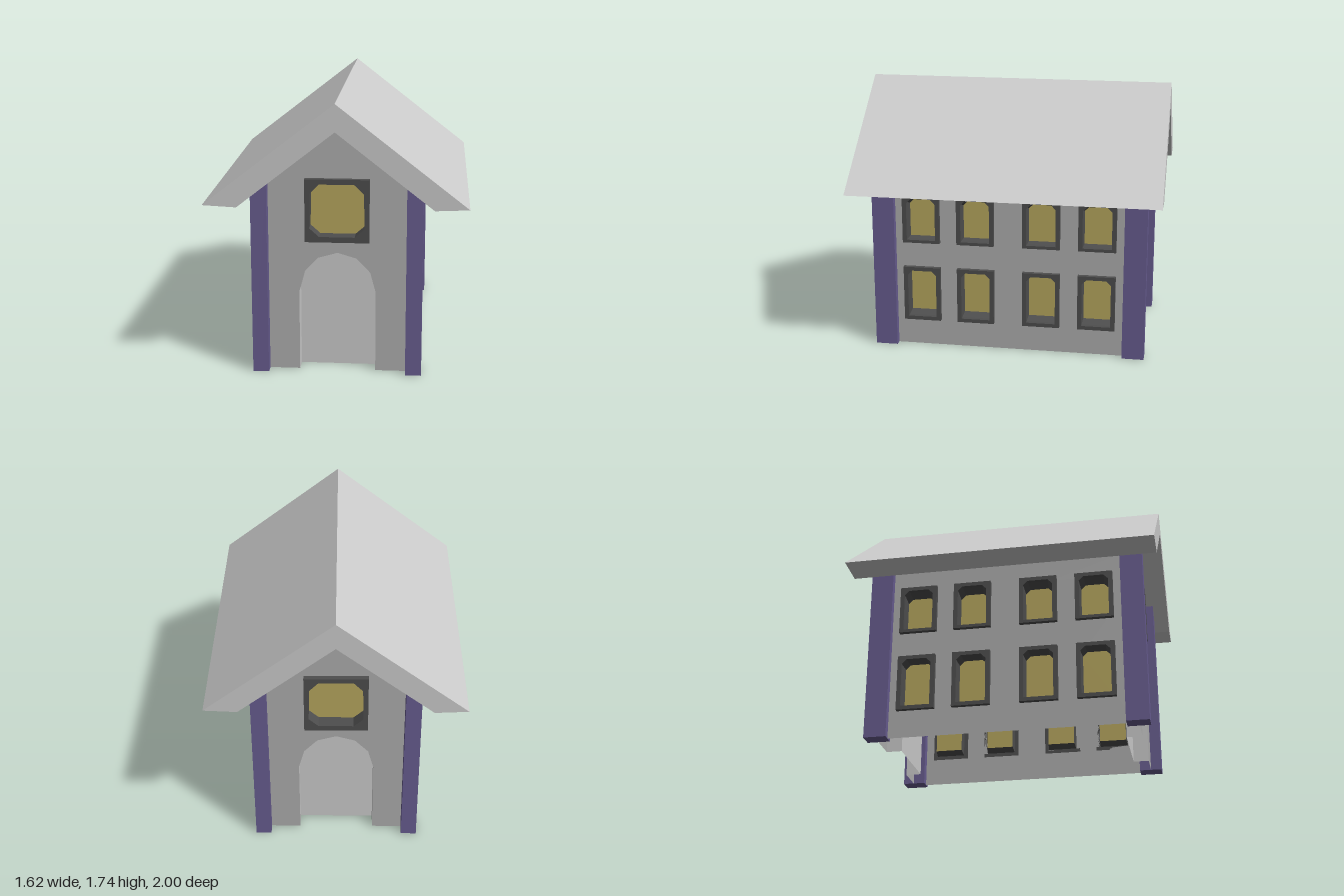
import * as THREE from 'three';

const material = (color, side = THREE.DoubleSide) =>
  new THREE.MeshStandardMaterial({ color, side, flatShading: true });
const GREY = material(0xcccccc);
const WALL = material(0xaeaeae);
const PILLAR = material(0x685d90, THREE.FrontSide);
const FRAME = material(0x4e4e4e);
const PANE = material(0xb7a75e);

const HALF_W = 0.485; // side wall plane
const HALF_D = 0.83; // gable wall plane

function add(parent, name, geometry, mat, z = 0) {
  const mesh = new THREE.Mesh(geometry, mat);
  mesh.name = name;
  mesh.position.z = z;
  parent.add(mesh);
  return mesh;
}

const toShape = (pts) => new THREE.Shape(pts.map(([x, y]) => new THREE.Vector2(x, y)));
const toPath = (pts) => new THREE.Path(pts.map(([x, y]) => new THREE.Vector2(x, y)));
const rect = (x0, x1, y0, y1) => [[x0, y0], [x1, y0], [x1, y1], [x0, y1]];
// mirrors a right-hand outline (bottom to top) into a closed loop
const mirrored = (pts) => [...pts, ...pts.filter(([x]) => x > 0).reverse().map(([x, y]) => [-x, y])];
const shifted = (pts, dx) => pts.map(([x, y]) => [x + dx, y]);

// strip joining two outlines with equal point counts, seen from inside
function tunnel(front, zf, back, zb, closed = true) {
  const pos = [];
  const n = front.length;
  for (let i = 0; i < (closed ? n : n - 1); i++) {
    const j = (i + 1) % n;
    const a = [...front[i], zf], b = [...front[j], zf];
    const c = [...back[j], zb], d = [...back[i], zb];
    pos.push(...a, ...b, ...c, ...a, ...c, ...d);
  }
  const g = new THREE.BufferGeometry();
  g.setAttribute('position', new THREE.Float32BufferAttribute(pos, 3));
  g.computeVertexNormals();
  return g;
}

// raised frame, recess and pane; wall plane is local z = 0
function addWindow(parent, outer, opening, pane, front = 0.03, back = -0.06) {
  const win = new THREE.Group();
  win.name = 'window';
  const ring = toShape(outer);
  ring.holes.push(toPath(opening));
  add(win, 'windowFrame', new THREE.ExtrudeGeometry(ring, { depth: front, bevelEnabled: false }), FRAME);
  add(win, 'windowRecess', tunnel(opening, 0, pane, back), FRAME);
  add(win, 'windowPane', new THREE.ShapeGeometry(toShape(pane)), PANE, back);
  parent.add(win);
}

// arched-top outline with cut corners
const archedLight = (w, y0, y1) => mirrored([[w, y0], [w, y1 - 0.03], [w - 0.03, y1]]);

function sideWall() {
  const group = new THREE.Group();
  group.name = 'sideWall';
  const wall = toShape(rect(-HALF_D, HALF_D, 0, 1.2));
  const rows = [
    { outer: [0.18, 0.55], opening: [0.205, 0.525], pane: [0.225, 0.52] },
    { outer: [0.72, 1.045], opening: [0.74, 1.02], pane: [0.745, 0.998] },
  ];
  for (const row of rows) {
    for (const x of [-0.58, -0.22, 0.215, 0.58]) {
      const opening = shifted(archedLight(0.095, ...row.opening), x);
      const pane = shifted(archedLight(0.09, ...row.pane), x);
      wall.holes.push(toPath(opening));
      addWindow(group, rect(x - 0.123, x + 0.123, ...row.outer), opening, pane);
    }
  }
  add(group, 'wallPanel', new THREE.ShapeGeometry(wall), WALL);
  return group;
}

function gableWall() {
  const group = new THREE.Group();
  group.name = 'gableWall';
  const arch = mirrored([[0.24, 0], [0.24, 0.52], [0.205, 0.65], [0.12, 0.74], [0, 0.775]]);
  // the wall outline runs around the doorway, which is open at the ground
  const doorway = [...arch].reverse();
  const wall = toShape([[HALF_W, 0], [HALF_W, 1.2], [0, 1.58], [-HALF_W, 1.2], [-HALF_W, 0], ...doorway]);
  const opening = mirrored([[0.11, 0.885], [0.172, 0.94], [0.166, 1.16], [0.11, 1.218]]);
  wall.holes.push(toPath(opening));
  add(group, 'wallPanel', new THREE.ShapeGeometry(wall), WALL);
  addWindow(group, rect(-0.2, 0.2, 0.85, 1.25), opening, opening, 0.035, -0.055);
  // door niche
  add(group, 'doorJamb', tunnel(arch, 0, arch, -0.1, false), GREY);
  add(group, 'door', new THREE.ShapeGeometry(toShape(arch)), GREY, -0.1);
  return group;
}

export function createModel() {
  const model = new THREE.Group();
  model.name = 'house';

  // two matching gables and two matching long sides
  for (const turn of [0, 1]) {
    const gable = gableWall();
    gable.rotation.y = turn * Math.PI;
    gable.position.z = turn ? -HALF_D : HALF_D;
    const side = sideWall();
    side.rotation.y = Math.PI / 2 + turn * Math.PI;
    side.position.x = turn ? -HALF_W : HALF_W;
    model.add(gable, side);
  }

  // corner pillars, tops buried in the roof
  for (const sx of [-1, 1]) {
    for (const sz of [-1, 1]) {
      const pillar = add(model, 'cornerPillar', new THREE.BoxGeometry(0.1, 1.235, 0.145), PILLAR);
      pillar.position.set(sx * 0.481, 0.6175, sz * 0.8275);
    }
  }

  // thick gabled roof with cut eaves
  const roof = toShape([[0, 1.74], [-0.81, 1.11], [-0.6, 1.1], [0, 1.57], [0.6, 1.1], [0.81, 1.11]]);
  add(model, 'roof', new THREE.ExtrudeGeometry(roof, { depth: 2, bevelEnabled: false }), GREY, -1);

  return model;
}
